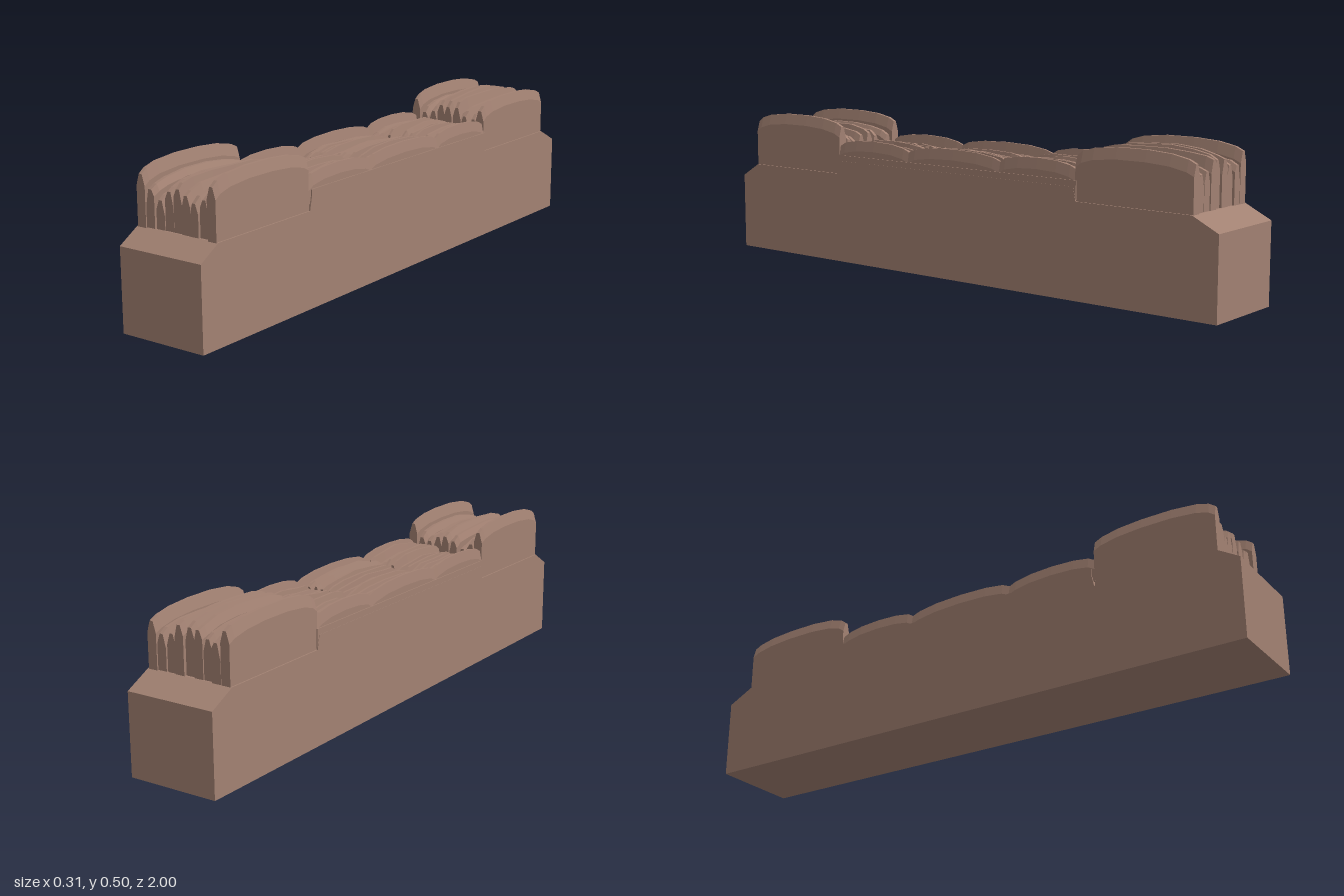
import * as THREE from 'three';

const wood = new THREE.MeshStandardMaterial({ color: 0xa28172, flatShading: true });
wood.name = 'reddish brown';

// Small seeded generator for the irregular slats
function seeded(seed) {
  let s = seed;
  return () => {
    s = (s * 16807) % 2147483647;
    return s / 2147483647;
  };
}

// Upright slat with a bevelled crest, lofted along z.
// stations: list of { z, x, h, lean }, ordered from back to front
function slat(stations, halfWidth, bevel, bottom) {
  const pos = [], index = [], n = 6;
  for (const { z, x, h, lean } of stations) {
    const w = halfWidth, s = h - bevel;
    const ring = [
      [w, bottom], [w, s - lean], [0.35 * w, h],
      [-0.35 * w, h], [-w, s + lean], [-w, bottom],
    ];
    for (const [px, py] of ring) pos.push(x + px, py, z);
  }
  const last = (stations.length - 1) * n;
  for (let i = 0; i < stations.length - 1; i++) {
    for (let j = 0; j < n; j++) {
      const a = i * n + j, b = i * n + (j + 1) % n;
      index.push(a, b, b + n, a, b + n, a + n);
    }
  }
  for (let j = 1; j < n - 1; j++) {
    index.push(last, last + j, last + j + 1);
    index.push(0, j + 1, j);
  }
  const g = new THREE.BufferGeometry();
  g.setAttribute('position', new THREE.Float32BufferAttribute(pos, 3));
  g.setIndex(index);
  const flat = g.toNonIndexed();
  flat.computeVertexNormals();
  return flat;
}

// A row of slats side by side; profile is [t, drop below crest] along the length
function slatRow(name, { z0, z1, heights, bevel, bottom, profile, sway, seed }) {
  const group = new THREE.Group();
  group.name = name;
  const rand = seeded(seed);
  const count = heights.length, pitch = 0.302 / count;
  heights.forEach((height, i) => {
    const outer = i === 0 || i === count - 1;
    const cx = (i - (count - 1) / 2) * pitch;
    const lean = outer ? 0 : (rand() - 0.5) * bevel * 0.9;
    const e0 = z0 + (outer ? 0 : rand() * 0.012);
    const e1 = z1 - (outer ? 0 : rand() * 0.012);
    const stations = profile.map(([t, drop]) => ({
      z: e0 + (e1 - e0) * t,
      x: cx + (outer ? 0 : (rand() - 0.5) * sway),
      h: height - drop - (outer ? 0 : rand() * 0.008),
      lean,
    }));
    const mesh = new THREE.Mesh(slat(stations, pitch * 0.48, bevel, bottom), wood);
    mesh.name = 'slat';
    group.add(mesh);
  });
  return group;
}

export function createModel() {
  const model = new THREE.Group();
  model.name = 'slattedBeam';

  // Long base block with sloping shoulders at both ends
  const side = new THREE.Shape([
    [-1, 0], [1, 0], [1, 0.265], [0.925, 0.31], [0.51, 0.31], [0.5, 0.355],
    [-0.49, 0.355], [-0.5, 0.31], [-0.91, 0.31], [-1, 0.265],
  ].map(([z, y]) => new THREE.Vector2(z, y)));
  const baseGeo = new THREE.ExtrudeGeometry(side, { depth: 0.31, bevelEnabled: false });
  baseGeo.translate(0, 0, -0.155).rotateY(-Math.PI / 2);
  const base = new THREE.Mesh(baseGeo, wood);
  base.name = 'base';
  model.add(base);

  // Tall slats at the two ends
  const tall = [[0, 0.03], [0.06, 0.018], [0.2, 0.006], [0.4, 0], [0.65, 0], [0.85, 0.008], [0.95, 0.02], [1, 0.035]];
  model.add(slatRow('frontSlats', {
    z0: 0.51, z1: 0.928, bevel: 0.036, bottom: 0.3, profile: tall, sway: 0.004, seed: 11,
    heights: [0.502, 0.462, 0.435, 0.465, 0.475, 0.465, 0.45, 0.462, 0.502],
  }));
  model.add(slatRow('backSlats', {
    z0: -0.912, z1: -0.495, bevel: 0.036, bottom: 0.3, profile: tall, sway: 0.004, seed: 23,
    heights: [0.5, 0.462, 0.466, 0.49, 0.49, 0.49, 0.462, 0.455, 0.486],
  }));

  // Three rows of fine low slats in between, dipping where they meet
  const low = [[0, 0.025], [0.08, 0.014], [0.25, 0.004], [0.5, 0], [0.75, 0.003], [0.92, 0.012], [1, 0.026]];
  const spans = [[-0.495, -0.195], [-0.2, 0.195], [0.19, 0.512]];
  spans.forEach(([z0, z1], k) => {
    const rand = seeded(101 + k * 37);
    rand();
    const heights = Array.from({ length: 13 }, (_, i) =>
      i === 0 || i === 12 ? 0.432 : 0.4 + 0.032 * rand());
    model.add(slatRow('middleSlats' + (k + 1), {
      z0, z1, heights, bevel: 0.035, bottom: 0.33, profile: low, sway: 0.007, seed: 51 + k * 19,
    }));
  });

  // Flush side walls behind the outermost low slats
  for (const s of [-1, 1]) {
    const wall = new THREE.Mesh(new THREE.BoxGeometry(0.012, 0.06, 1), wood);
    wall.name = 'sideWall';
    wall.position.set(s * 0.148, 0.345, 0);
    model.add(wall);
  }
  return model;
}
